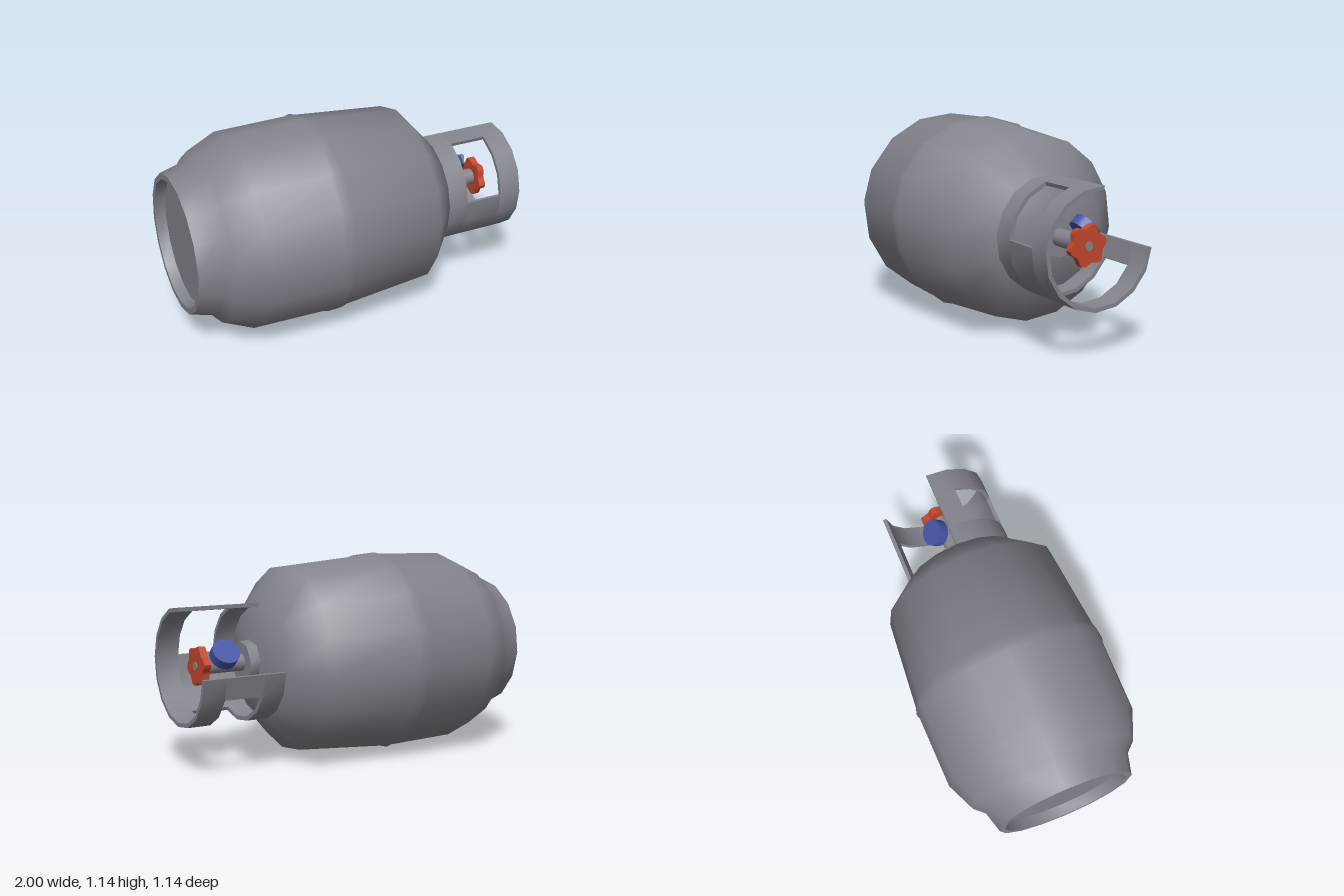
import * as THREE from 'three';
import { toCreasedNormals } from 'three/addons/utils/BufferGeometryUtils.js';

const AXIS_Y = 0.573;
const RAD = Math.PI / 180;
const STEP = 22.5 * RAD;

export function createModel() {
  const steel = new THREE.MeshStandardMaterial({ color: 0x83848d });
  steel.name = 'grey steel';
  const red = new THREE.MeshStandardMaterial({ color: 0xc4462c });
  red.name = 'red handwheel';
  const blue = new THREE.MeshStandardMaterial({ color: 0x4354a4 });
  blue.name = 'blue cap';

  const model = new THREE.Group();
  model.name = 'gasCylinder';
  // everything is arranged around the horizontal axis of the bottle
  const axis = new THREE.Group();
  axis.name = 'bottle';
  axis.position.y = AXIS_Y;
  model.add(axis);

  function add(parent, name, geometry, material) {
    const mesh = new THREE.Mesh(geometry, material);
    mesh.name = name;
    parent.add(mesh);
    return mesh;
  }

  // turned part along x; profile is [x, radius] from left to right
  function turned(name, profile, sides, start, material, crease = 0.9) {
    const pts = profile.map(([x, r]) => new THREE.Vector2(r, x));
    const g = new THREE.LatheGeometry(pts, sides, start, Math.PI * 2);
    g.rotateZ(-Math.PI / 2);
    return add(axis, name, toCreasedNormals(g, crease), material);
  }

  // flat outline extruded along x from x0 to x1
  function slab(parent, name, points, x0, x1, material) {
    const g = new THREE.ExtrudeGeometry(new THREE.Shape(points), { depth: x1 - x0, bevelEnabled: false });
    g.rotateY(Math.PI / 2);
    g.translate(x0, 0, 0);
    return add(parent, name, toCreasedNormals(g, 0.6), material);
  }

  // tank with foot ring, recessed base and a weld bead round the middle
  turned('tank', [
    [-0.94, 0], [-0.94, 0.35], [-1, 0.36], [-1, 0.392], [-0.88, 0.425], [-0.83, 0.48],
    [-0.66, 0.555], [-0.24, 0.564], [-0.21, 0.573], [-0.17, 0.562],
    [0.36, 0.518], [0.525, 0.33], [0.575, 0.1], [0.575, 0],
  ], 16, -94 * RAD, steel);

  // guard collar: a three-quarter ring with two windows
  const collar = new THREE.Group();
  collar.name = 'guardCollar';
  axis.add(collar);
  function arc(from, to) {
    const outer = [], inner = [];
    for (let i = from; i <= to; i++) {
      const a = 93.6 * RAD - 7.2 * RAD + i * STEP;
      outer.push(new THREE.Vector2(0.322 * Math.cos(a), 0.322 * Math.sin(a)));
      inner.unshift(new THREE.Vector2(0.3 * Math.cos(a), 0.3 * Math.sin(a)));
    }
    return [...outer, ...inner];
  }
  slab(collar, 'collarBase', arc(0, 12), 0.525, 0.65, steel);
  slab(collar, 'collarRim', arc(0, 12), 0.87, 1, steel);
  for (const [from, to] of [[0, 1], [4, 7], [11, 12]]) {
    slab(collar, 'collarPost', arc(from, to), 0.65, 0.87, steel);
  }

  // valve base and stem
  turned('valveBase', [[0.55, 0], [0.55, 0.12], [0.63, 0.115], [0.63, 0]], 8, 8 * RAD, steel);
  turned('valveStem', [[0.62, 0], [0.62, 0.048], [0.87, 0.048], [0.87, 0]], 16, 0, steel);

  // side outlet with its cap, pointing up and back
  const outlet = new THREE.Group();
  outlet.name = 'outlet';
  outlet.position.x = 0.762;
  outlet.rotation.x = -48 * RAD;
  axis.add(outlet);
  const stub = new THREE.CylinderGeometry(0.035, 0.035, 0.07, 16);
  add(outlet, 'outletStub', stub, steel).position.y = 0.035;
  const cap = new THREE.CylinderGeometry(0.077, 0.077, 0.06, 20);
  add(outlet, 'outletCap', cap, blue).position.y = 0.094;

  // six-lobed handwheel and its spindle end
  const wheel = [];
  for (let i = 0; i < 36; i++) {
    const a = i * 10 * RAD;
    const r = 0.101 + 0.012 * Math.cos(6 * (a - 12 * RAD));
    wheel.push(new THREE.Vector2(r * Math.cos(a), r * Math.sin(a)));
  }
  slab(axis, 'handwheel', wheel, 0.86, 0.9, red);
  turned('spindle', [[0.85, 0], [0.85, 0.024], [0.906, 0.024], [0.906, 0]], 12, 0, steel);

  return model;
}
